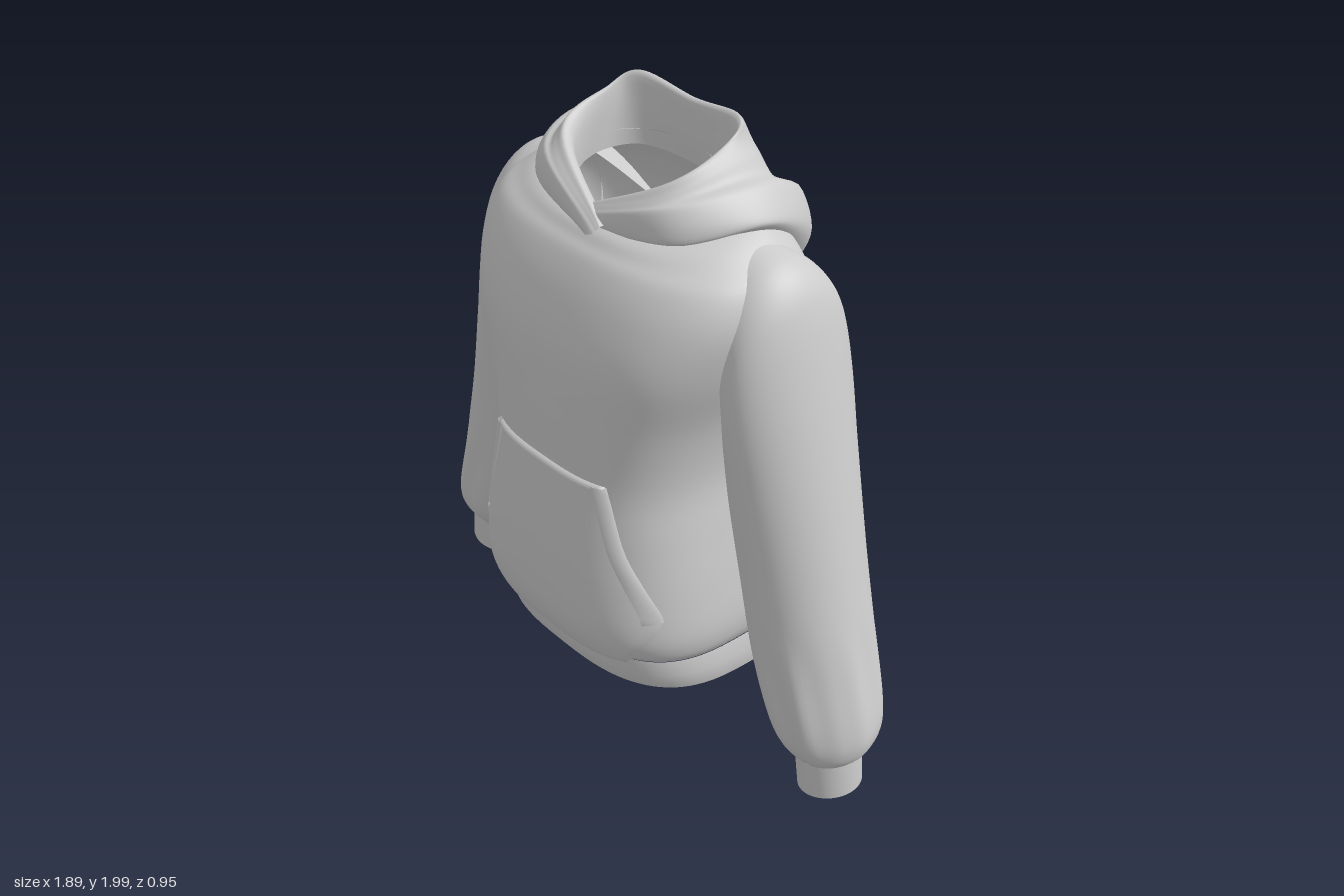
import * as THREE from 'three';
import { mergeVertices } from 'three/addons/utils/BufferGeometryUtils.js';

const cloth = new THREE.MeshStandardMaterial({ color: 0xcccccc, side: THREE.DoubleSide });

// Smoothly interpolate rows of numbers, n steps per span
function smoothRows(rows, n) {
  const out = [];
  const last = rows.length - 1;
  for (let i = 0; i < last; i++) {
    const [a, b, c, d] = [rows[Math.max(i - 1, 0)], rows[i], rows[i + 1], rows[Math.min(i + 2, last)]];
    for (let k = 0; k < n; k++) {
      const t = k / n;
      out.push(b.map((_, j) => {
        const cubic = 3 * (b[j] - c[j]) + d[j] - a[j];
        const square = 2 * a[j] - 5 * b[j] + 4 * c[j] - d[j];
        return b[j] + 0.5 * t * (c[j] - a[j] + t * (square + t * cubic));
      }));
    }
  }
  out.push(rows[last]);
  return out;
}

// Skin a sequence of rings (arrays of [x, y, z]) into one smooth surface
function skin(name, rings) {
  const m = rings[0].length;
  const index = [];
  for (let i = 0; i < rings.length - 1; i++) {
    for (let j = 0; j < m - 1; j++) {
      const a = i * m + j, b = a + m;
      index.push(a, a + 1, b, b, a + 1, b + 1);
    }
  }
  let geo = new THREE.BufferGeometry();
  geo.setAttribute('position', new THREE.Float32BufferAttribute(rings.flat(2), 3));
  geo.setIndex(index);
  geo = mergeVertices(geo, 1e-5);
  geo.computeVertexNormals();
  const mesh = new THREE.Mesh(geo, cloth);
  mesh.name = name;
  return mesh;
}

const spow = (v, p) => Math.sign(v) * Math.pow(Math.abs(v), p);
const bump = (y, lo, hi) => (y <= lo || y >= hi ? 0 : Math.sin(Math.PI * (y - lo) / (hi - lo)));

// Torso rows: y, half width, front depth, back depth, corner power, tilt
const torsoRows = smoothRows([
  [0.36, 0.43, 0.40, 0.262, 0.66, 0.06],
  [0.41, 0.452, 0.43, 0.283, 0.66, 0.03],
  [0.50, 0.46, 0.45, 0.292, 0.66, 0],
  [0.65, 0.445, 0.445, 0.295, 0.66, 0],
  [0.82, 0.42, 0.435, 0.298, 0.66, 0],
  [1.00, 0.40, 0.423, 0.30, 0.67, 0],
  [1.20, 0.43, 0.417, 0.305, 0.67, 0],
  [1.40, 0.50, 0.405, 0.298, 0.68, 0],
  [1.55, 0.535, 0.36, 0.28, 0.72, 0],
  [1.65, 0.515, 0.31, 0.25, 0.78, 0],
  [1.715, 0.455, 0.275, 0.21, 0.84, -0.1],
  [1.765, 0.38, 0.25, 0.17, 0.9, -0.2],
  [1.80, 0.25, 0.21, 0.14, 1, -0.3],
], 5);

function torsoRing([y, w, f, b, p, tilt], folds = true) {
  const ring = [];
  for (let j = 0; j <= 112; j++) {
    const a = (j % 112) / 112 * Math.PI * 2;
    const s = Math.sin(a), c = Math.cos(a);
    const x = w * spow(s, p);
    let z = (c > 0 ? f : b) * spow(c, p);
    // hanging folds down the back and soft ones beside the chest
    if (folds && c < 0) z += 0.011 * bump(y, 0.36, 1.5) * Math.sin(26 * x + 1.5 * y) * c * c;
    if (folds && c > 0) z += 0.012 * bump(y, 0.95, 1.6) * Math.cos(18 * x) * s * s * c;
    ring.push([x, y + tilt * z, z]);
  }
  return ring;
}

// Depth of the torso front at x, y
function frontZ(x, y) {
  const i = Math.max(1, torsoRows.findIndex(r => r[0] >= y));
  const lo = torsoRows[i - 1], hi = torsoRows[i];
  const t = (y - lo[0]) / (hi[0] - lo[0]);
  const [, w, f, , p] = lo.map((v, k) => v + (hi[k] - v) * t);
  const s = Math.min(1, Math.pow(Math.abs(x) / w, 1 / p));
  return f * Math.pow(1 - s * s, p / 2);
}

// Sleeve rows: outer x, y, inner x, y, front z, back z
function sleeveRing([ox, oy, ix, iy, zf, zb], side, gather) {
  const ring = [];
  for (let j = 0; j <= 64; j++) {
    const a = (j % 64) / 64 * Math.PI * 2;
    const k = 1 + gather * (Math.sin(7 * a) + 0.6 * Math.sin(11 * a + 1));
    const u = 0.5 + 0.5 * k * Math.cos(a);
    const z = (zf + zb) / 2 + (zf - zb) / 2 * k * Math.sin(a);
    ring.push([side * (ix + (ox - ix) * u), iy + (oy - iy) * u, z]);
  }
  return ring;
}

function sleeve(side) {
  const arm = new THREE.Group();
  arm.name = side > 0 ? 'leftSleeve' : 'rightSleeve';
  const rows = smoothRows([
    [0.43, 1.735, 0.36, 1.42, 0.13, -0.15],
    [0.515, 1.71, 0.39, 1.33, 0.17, -0.20],
    [0.575, 1.655, 0.415, 1.25, 0.19, -0.23],
    [0.615, 1.565, 0.425, 1.17, 0.20, -0.243],
    [0.662, 1.39, 0.425, 1.09, 0.20, -0.245],
    [0.72, 1.15, 0.43, 0.95, 0.19, -0.235],
    [0.80, 0.82, 0.46, 0.73, 0.175, -0.22],
    [0.88, 0.52, 0.515, 0.47, 0.168, -0.205],
    [0.935, 0.31, 0.59, 0.27, 0.16, -0.185],
    [0.935, 0.215, 0.64, 0.19, 0.14, -0.155],
    [0.905, 0.165, 0.70, 0.125, 0.10, -0.10],
  ], 6);
  arm.add(skin('sleeveBody', rows.map(r => sleeveRing(r, side, 0.026 * bump(r[1], 0.16, 0.65)))));
  // ribbed cuff, turned in at the opening
  const cuff = [
    [0.905, 0.165, 0.70, 0.125, 0.10, -0.10],
    [0.915, 0.045, 0.72, 0.003, 0.10, -0.10],
    [0.91, 0.043, 0.727, 0.005, 0.093, -0.093],
    [0.90, 0.14, 0.715, 0.10, 0.09, -0.09],
  ];
  arm.add(skin('cuff', cuff.map(r => sleeveRing(r, side, 0))));
  return arm;
}

// Front pouch: half width by height, following the torso front
function pocket() {
  const group = new THREE.Group();
  group.name = 'pocket';
  const outline = smoothRows([
    [1.02, 0.235], [0.92, 0.262], [0.80, 0.30], [0.68, 0.355], [0.57, 0.395],
    [0.50, 0.375], [0.44, 0.335], [0.39, 0.305],
  ], 4);
  const surface = (x, y, lift) => [x, y, frontZ(x, y) + lift];
  const rows = outline.map(([y, w]) => {
    const row = [surface(-w, y, -0.01)];
    for (let j = 0; j <= 32; j++) {
      const u = j / 16 - 1;
      row.push(surface(u * w, y, 0.01 + 0.018 * (1 - u * u) * bump(y, 0.33, 1.02)));
    }
    row.push(surface(w, y, -0.01));
    return row;
  });
  const tuck = row => row.map(([x, y]) => surface(x, y, -0.01));
  group.add(skin('pouch', [tuck(rows[0]), ...rows, tuck(rows[rows.length - 1])].reverse()));
  // stitched bands along the hand openings
  for (const side of [-1, 1]) {
    const band = outline.slice(0, 17).map(([y, w]) => [
      [w + 0.004, -0.005], [w + 0.004, 0.015], [w - 0.028, 0.02], [w - 0.03, 0.005],
    ].map(([x, lift]) => surface(side * x, y, lift)));
    group.add(skin(side > 0 ? 'leftPocketBand' : 'rightPocketBand', band));
  }
  return group;
}

// Lowered hood: each ring runs front, front side, side, back side, back,
// from the outer underside over the fold and rim to the neck lining
function hood() {
  const halves = [
    [[-0.01, 1.70, 0.235], [0.27, 1.74, 0.16], [0.38, 1.74, -0.03], [0.26, 1.54, -0.23], [0, 1.41, -0.27]],
    [[-0.02, 1.70, 0.262], [0.29, 1.745, 0.18], [0.415, 1.76, -0.07], [0.27, 1.50, -0.31], [0, 1.35, -0.36]],
    [[-0.04, 1.71, 0.272], [0.285, 1.79, 0.18], [0.415, 1.785, -0.09], [0.29, 1.60, -0.355], [0, 1.48, -0.475]],
    [[-0.06, 1.72, 0.27], [0.26, 1.835, 0.175], [0.36, 1.85, -0.11], [0.235, 1.72, -0.35], [0, 1.60, -0.45]],
    [[-0.065, 1.728, 0.262], [0.24, 1.845, 0.165], [0.31, 1.865, -0.12], [0.18, 1.70, -0.30], [0, 1.55, -0.385]],
    [[-0.07, 1.733, 0.257], [0.23, 1.865, 0.15], [0.275, 1.915, -0.10], [0.15, 1.84, -0.25], [0, 1.74, -0.31]],
    [[-0.07, 1.738, 0.247], [0.215, 1.885, 0.135], [0.245, 1.95, -0.05], [0.20, 1.99, -0.14], [0, 1.965, -0.165]],
    [[-0.06, 1.725, 0.22], [0.19, 1.85, 0.12], [0.235, 1.90, -0.05], [0.18, 1.91, -0.12], [0, 1.89, -0.14]],
    [[-0.02, 1.70, 0.20], [0.18, 1.74, 0.12], [0.24, 1.76, 0], [0.17, 1.78, -0.11], [0, 1.78, -0.14]],
  ];
  const rings = halves.map(half => {
    // the left front edge tucks behind the right
    const left = half.map(([x, y, z], i) => new THREE.Vector3(x, y, z - (i === 0 ? 0.022 : 0)));
    const right = half.slice(0, 4).reverse().map(([x, y, z]) => new THREE.Vector3(-x, y, z));
    const curve = new THREE.CatmullRomCurve3([...left, ...right], false, 'catmullrom', 0.5);
    return curve.getPoints(80).flatMap(p => p.toArray());
  });
  const rows = smoothRows(rings, 5);
  return skin('hood', rows.map(r =>
    Array.from({ length: 81 }, (_, i) => r.slice(i * 3, i * 3 + 3))));
}

export function createModel() {
  const model = new THREE.Group();
  model.name = 'hoodedSweatshirt';
  model.add(skin('torso', torsoRows.map(r => torsoRing(r))));
  // waistband, turned in along the bottom
  const band = [
    [0.35, 0.425, 0.39, 0.252, 0.66, 0.06],
    [0.238, 0.432, 0.375, 0.235, 0.7, 0.1],
    [0.236, 0.44, 0.383, 0.243, 0.7, 0.1],
    [0.30, 0.444, 0.397, 0.26, 0.68, 0.08],
    [0.36, 0.432, 0.402, 0.264, 0.66, 0.06],
  ];
  model.add(skin('waistband', band.map(r => torsoRing(r, false))));
  model.add(pocket(), hood(), sleeve(1), sleeve(-1));
  return model;
}
